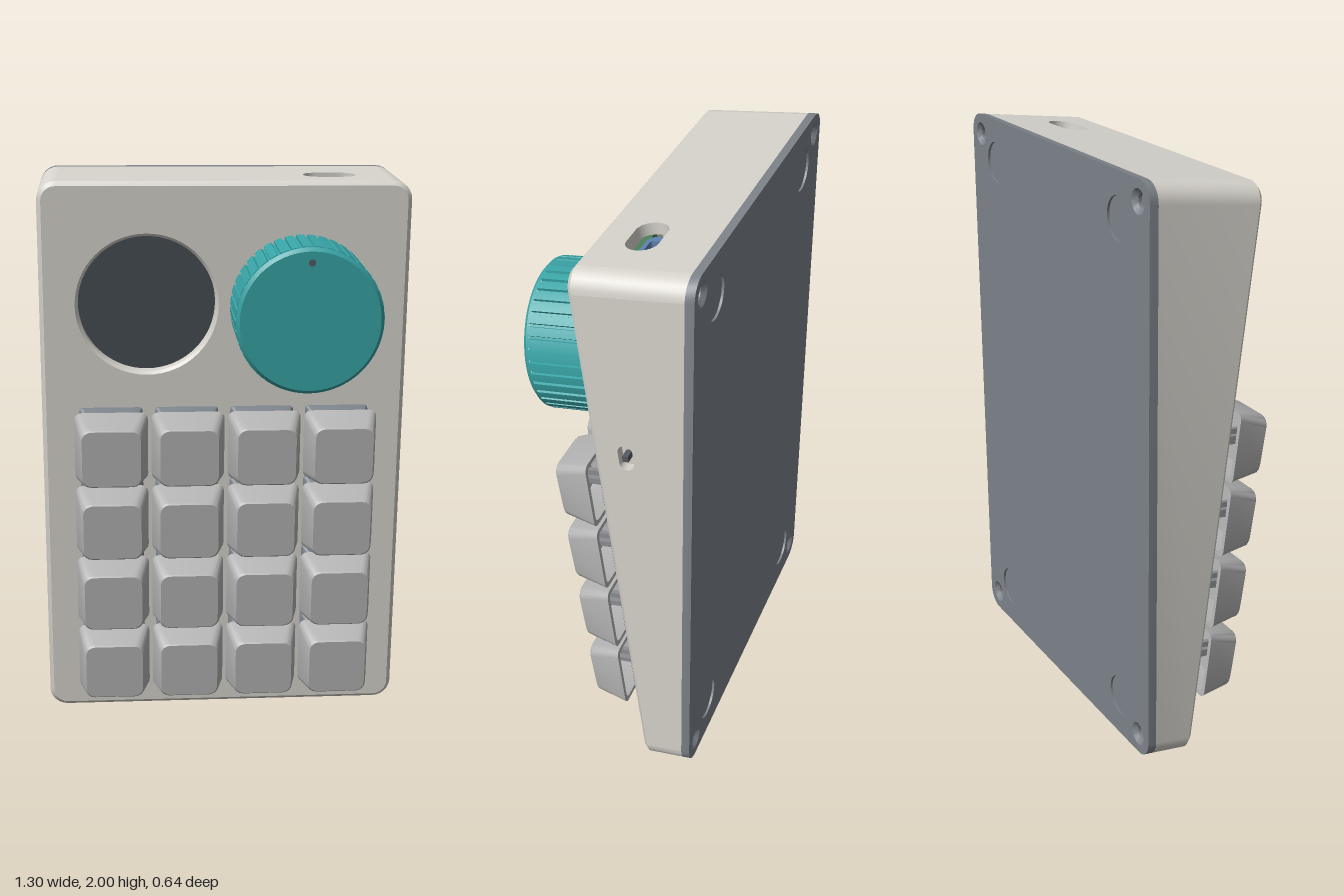
import * as THREE from 'three';
import { toCreasedNormals } from 'three/addons/utils/BufferGeometryUtils.js';

// The case leans forward: local y runs up its face, local z points out of it.
const TILT = THREE.MathUtils.degToRad(7);
const S = Math.sin(TILT), C = Math.cos(TILT), T = Math.tan(TILT);
const Z0 = -0.158;                    // world z of the face's bottom edge
const W = 0.645, L = 1.965, R = 0.065, BEVEL = 0.015; // half width, face length, corner
const BACK = -0.325, SEAM = -0.295;   // world z of the base plate's two sides
const atPlane = (v, z) => (z - Z0 - v * S) / C; // local z where a vertical plane lies

const mat = (color, side = THREE.FrontSide) => new THREE.MeshStandardMaterial({ color, side });
const M = {
  shell: mat(0xd6d3cc, THREE.DoubleSide), plate: mat(0x7d838a, THREE.DoubleSide),
  cap: mat(0xb4b4b4), housing: mat(0x7a8188), stem: mat(0x8a8d90), knob: mat(0x38a3a5),
  screen: mat(0x454c54), port: mat(0x5f82b0), board: mat(0x4a8058), dark: mat(0x555a60),
};

function add(parent, name, geometry, material, x = 0, y = 0, z = 0) {
  const mesh = new THREE.Mesh(geometry, material);
  mesh.name = name;
  mesh.position.set(x, y, z);
  parent.add(mesh);
  return mesh;
}

// Rounded rectangle, counter-clockwise from the bottom right corner; z may depend on y.
function ring(hw, hh, r, z = 0, cy = 0, seg = 6) {
  const pts = [];
  for (let c = 0; c < 4; c++) {
    const sx = c < 2 ? 1 : -1, sy = c === 1 || c === 2 ? 1 : -1;
    for (let i = 0; i <= seg; i++) {
      const a = (c - 1 + i / seg) * Math.PI / 2;
      const x = sx * (hw - r) + r * Math.cos(a), y = cy + sy * (hh - r) + r * Math.sin(a);
      pts.push(new THREE.Vector3(x, y, typeof z === 'function' ? z(y) : z));
    }
  }
  return pts;
}

// Skin a series of loops; skip(band, segment) leaves openings.
function loft(loops, { start = false, end = false, skip = () => false } = {}) {
  const pts = [], n = loops[0].length;
  for (let i = 0; i + 1 < loops.length; i++) for (let k = 0; k < n; k++) {
    if (skip(i, k)) continue;
    const j = (k + 1) % n, [p, q] = [loops[i], loops[i + 1]];
    pts.push(p[k], p[j], q[j], p[k], q[j], q[k]);
  }
  const fan = (loop, flip) => {
    const mid = loop.reduce((m, p) => m.add(p), new THREE.Vector3()).divideScalar(n);
    loop.forEach((p, k) => {
      const q = loop[(k + 1) % n];
      pts.push(mid, flip ? q : p, flip ? p : q);
    });
  };
  if (start) fan(loops[0], true);
  if (end) fan(loops.at(-1), false);
  return toCreasedNormals(new THREE.BufferGeometry().setFromPoints(pts), 0.5);
}

const circle = (x, y, r) => new THREE.Path().absarc(x, y, r, 0, Math.PI * 2);

// Slot with round ends, its long side along the shape's x or y.
function slot(cx, cy, length, width, alongY) {
  const [hw, hh] = alongY ? [width / 2, length / 2] : [length / 2, width / 2];
  return new THREE.Path(ring(hw, hh, width / 2 - 0.0005).map(p => new THREE.Vector2(p.x + cx, p.y + cy)));
}

const extrude = (shape, depth) =>
  toCreasedNormals(new THREE.ExtrudeGeometry(shape, { depth, bevelEnabled: false, curveSegments: 32 }), 0.5);

const turn = (points, seg = 48) =>
  toCreasedNormals(new THREE.LatheGeometry(points.map(p => new THREE.Vector2(...p)), seg).rotateX(Math.PI / 2), 0.5);

function buildCase(body) {
  const wall = 0.04, mid = L / 2;
  // Rim and side walls; the right and top flats are separate pieces with slots
  add(body, 'caseShell', loft([
    ring(W, mid, R, y => atPlane(y, SEAM), mid),
    ring(W, mid, R, -BEVEL, mid),
    ring(W - BEVEL, mid - BEVEL, R - BEVEL, 0, mid),
  ], { skip: (band, k) => band === 0 && (k === 6 || k === 13) }), M.shell);

  const face = new THREE.Shape(ring(W - BEVEL, mid - BEVEL, R - BEVEL, 0, mid));
  face.holes.push(circle(-0.272, 1.538, 0.25));
  add(body, 'facePanel', new THREE.ShapeGeometry(face, 32), M.shell);

  const [X, Y, Z] = [[1, 0, 0], [0, 1, 0], [0, 0, 1]].map(a => new THREE.Vector3(...a));
  const v2 = (x, y) => new THREE.Vector2(x, y);
  const side = new THREE.Shape([v2(R, atPlane(R, SEAM)), v2(L - R, atPlane(L - R, SEAM)),
    v2(L - R, -BEVEL), v2(R, -BEVEL)]);
  side.holes.push(slot(1.33, -0.11, 0.09, 0.05, false));
  add(body, 'switchWall', extrude(side, wall)
    .applyMatrix4(new THREE.Matrix4().makeBasis(Y, Z, X)), M.shell, W - wall);

  const n = atPlane(L, SEAM);
  const top = new THREE.Shape([v2(n, R - W), v2(-BEVEL, R - W), v2(-BEVEL, W - R), v2(n, W - R)]);
  top.holes.push(slot(-0.16, 0.375, 0.185, 0.105, true));
  add(body, 'portWall', extrude(top, wall)
    .applyMatrix4(new THREE.Matrix4().makeBasis(Z, X, Y)), M.shell, 0, L - wall);

  // Power switch behind the side slot
  add(body, 'switchBody', new THREE.BoxGeometry(0.04, 0.14, 0.08), M.shell, W - 0.055, 1.33, -0.11);
  add(body, 'switchNub', new THREE.BoxGeometry(0.05, 0.02, 0.02), M.dark, W - 0.02, 1.33, -0.11);

  // Cable port and its small board behind the top slot
  const rim = new THREE.Shape(ring(0.095, 0.045, 0.03));
  rim.holes.push(new THREE.Path(ring(0.065, 0.03, 0.01)));
  add(body, 'portShell', extrude(rim, 0.1).rotateX(-Math.PI / 2), M.port, 0.375, L - 0.15, -0.17);
  add(body, 'portTongue', new THREE.BoxGeometry(0.13, 0.1, 0.06), M.port, 0.375, L - 0.13, -0.17);
  add(body, 'portBoard', new THREE.BoxGeometry(0.3, 0.5, 0.025), M.board, 0.375, L - 0.31, -0.112);

  // Round display in a chamfered recess
  add(body, 'displayBezel', turn([[0.25, 0], [0.24, -0.01], [0.24, -0.055]], 64), M.shell, -0.272, 1.538);
  add(body, 'display', new THREE.CircleGeometry(0.242, 64), M.screen, -0.272, 1.538, -0.05);
}

function buildKnob(body) {
  const knob = new THREE.Group();
  knob.name = 'knob';
  knob.position.set(0.268, 1.535, 0);
  body.add(knob);
  // Grooved grip
  const pts = [], count = 40;
  for (let i = 0; i < count; i++) {
    for (const [f, r] of [[0, 0.252], [0.35, 0.252], [0.7, 0.252], [0.75, 0.243], [0.95, 0.243]]) {
      const a = (i + f) / count * Math.PI * 2;
      pts.push(new THREE.Vector2(r * Math.cos(a), r * Math.sin(a)));
    }
  }
  add(knob, 'knobGrip', extrude(new THREE.Shape(pts), 0.222), M.knob, 0, 0, 0.02);
  // Chamfered front with a dimple marker
  const front = new THREE.Shape().absarc(0, 0, 0.238, 0, Math.PI * 2);
  front.holes.push(circle(0, 0.2, 0.012));
  add(knob, 'knobFront', new THREE.ShapeGeometry(front, 64), M.knob, 0, 0, 0.262);
  add(knob, 'knobChamfer', loft([[0.25, 0.24], [0.25, 0.25], [0.238, 0.262]].map(([r, z]) =>
    ring(r, r, r, z, 0, 16))), M.knob);
  add(knob, 'knobMarker', new THREE.CircleGeometry(0.014, 20), M.dark, 0, 0.2, 0.256);
  add(knob, 'knobShaft', new THREE.CylinderGeometry(0.06, 0.06, 0.06, 32).rotateX(Math.PI / 2), M.dark);
}

function buildKeys(body) {
  // Hollow tapered cap whose top sits slightly low, as on a sculpted key
  const cap = loft([
    ring(0.095, 0.095, 0.025, 0.2, -0.007, 4), ring(0.112, 0.109, 0.02, 0.104, 0, 4),
    ring(0.128, 0.124, 0.025, 0.104, 0, 4),
    ring(0.106, 0.104, 0.034, y => 0.221 + 0.03 * y, -0.007, 4),
    ring(0.101, 0.099, 0.032, y => 0.227 + 0.03 * y, -0.007, 4),
  ], { start: true, end: true });
  const housing = loft([
    ring(0.112, 0.112, 0.012, -0.02, 0, 3), ring(0.112, 0.112, 0.012, 0.008, 0, 3),
    ring(0.078, 0.074, 0.012, 0.082, 0, 3),
  ], { end: true });
  const bars = [new THREE.BoxGeometry(0.056, 0.018, 0.13), new THREE.BoxGeometry(0.018, 0.056, 0.13)];
  for (let row = 0; row < 4; row++) for (let col = 0; col < 4; col++) {
    const key = new THREE.Group();
    key.name = `key${row + 1}_${col + 1}`;
    key.position.set((col - 1.5) * 0.268, 1.057 - row * 0.268, 0);
    add(key, 'keySwitch', housing, M.housing);
    bars.forEach(bar => add(key, 'keyStem', bar, M.stem, 0, 0, 0.14));
    add(key, 'keyCap', cap, M.cap);
    body.add(key);
  }
}

function buildBase(root) {
  const base = new THREE.Group();
  base.name = 'base';
  root.add(base);
  const hh = L / C / 2, cy = hh - (BACK - Z0) * T;
  const shape = new THREE.Shape(ring(W, hh, R, 0, cy));
  const countersink = turn([[0.04, 0], [0.024, -0.014], [0.024, -0.026], [0, -0.026]], 24).rotateY(Math.PI);
  for (const sx of [-1, 1]) for (const sy of [-1, 1]) {
    const sink = [sx * (W - 0.07), cy + sy * (hh - 0.07)], pad = [sx * (W - 0.195), cy + sy * (hh - 0.15)];
    shape.holes.push(circle(...sink, 0.04), circle(...pad, 0.072));
    add(base, 'screwHole', countersink, M.plate, ...sink, BACK);
    add(base, 'footPad', new THREE.CircleGeometry(0.074, 32).rotateY(Math.PI), M.plate, ...pad, BACK + 0.008);
  }
  // Plate edges follow the lean of the case
  const plate = extrude(shape, SEAM - BACK);
  plate.applyMatrix4(new THREE.Matrix4().set(1, 0, 0, 0, 0, 1, -T, 0, 0, 0, 1, 0, 0, 0, 0, 1));
  add(base, 'basePlate', plate, M.plate, 0, 0, BACK);
}

export function createModel() {
  const root = new THREE.Group();
  root.name = 'macroPad';
  const body = new THREE.Group();
  body.name = 'body';
  body.rotation.x = TILT;
  body.position.z = Z0;
  root.add(body);
  buildCase(body);
  buildKnob(body);
  buildKeys(body);
  buildBase(root);
  root.position.x = -0.003;
  return root;
}
